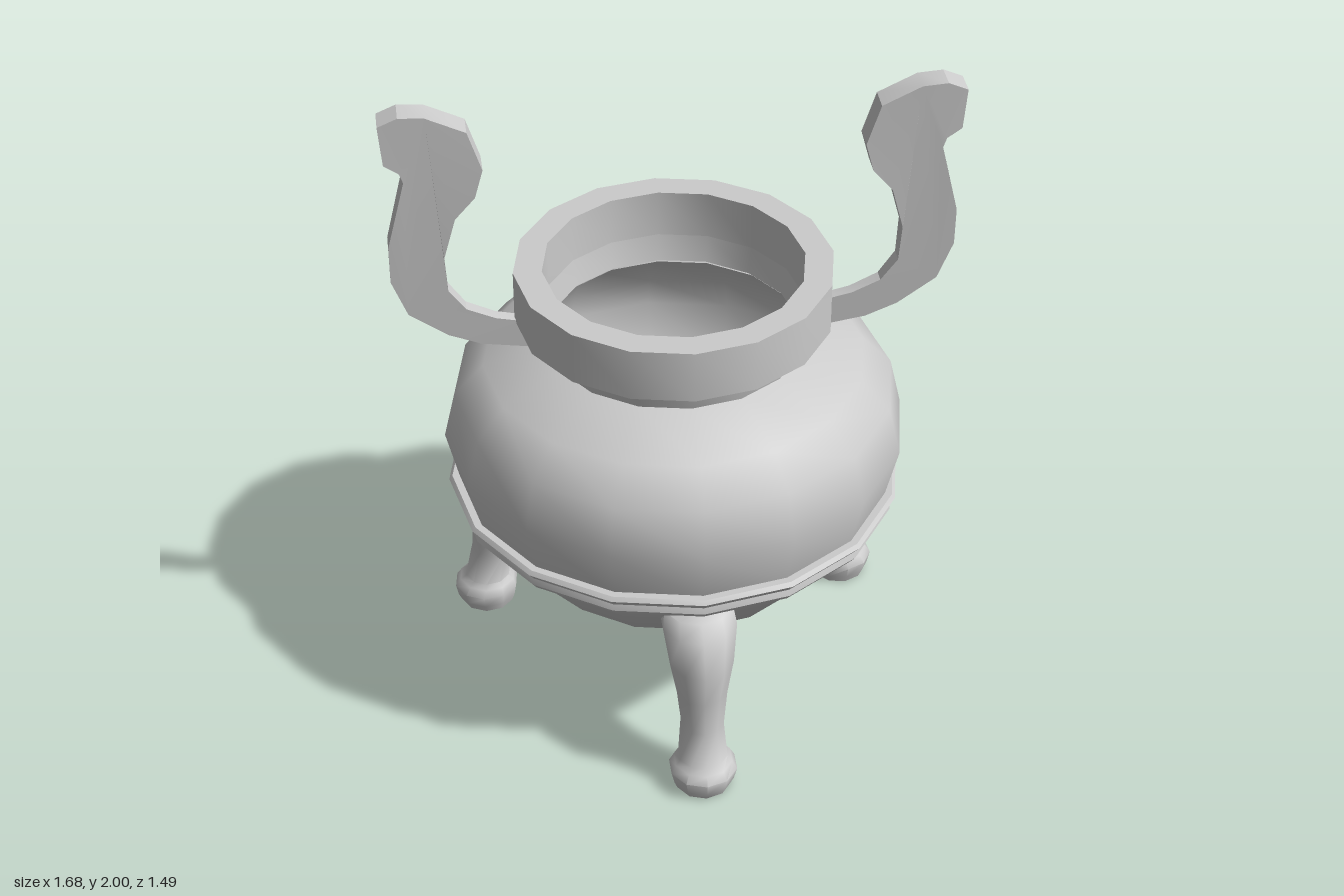
import * as THREE from 'three';
import { toCreasedNormals } from 'three/addons/utils/BufferGeometryUtils.js';

const SIDES = 16;
const AXIS_Z = -0.04; // the vessel's axis sits slightly behind the centre
const material = new THREE.MeshStandardMaterial({ color: 0xcccccc });

function makeMesh(name, geometry) {
  const mesh = new THREE.Mesh(geometry, material);
  mesh.name = name;
  return mesh;
}

// Turned part from [radius, y] pairs, outside listed upwards
function turned(name, profile, crease = 0.65) {
  const points = profile.map(([r, y]) => new THREE.Vector2(r, y));
  return makeMesh(name, toCreasedNormals(new THREE.LatheGeometry(points, SIDES), crease));
}

// Leg lofted through elliptical rings: [y, distance from axis, half width, half depth]
function legGeometry() {
  const rings = [
    [0, 0.68, 0.085, 0.085], [0.025, 0.682, 0.095, 0.096], [0.065, 0.682, 0.105, 0.103],
    [0.09, 0.678, 0.09, 0.09], [0.105, 0.675, 0.076, 0.072], [0.22, 0.655, 0.066, 0.068],
    [0.33, 0.638, 0.078, 0.078], [0.44, 0.61, 0.1, 0.118], [0.54, 0.56, 0.116, 0.125],
    [0.58, 0.53, 0.108, 0.11], [0.6, 0.5, 0.07, 0.08],
  ];
  const n = 10, positions = [], index = [];
  for (const [y, z, w, d] of rings) {
    for (let i = 0; i < n; i++) {
      const a = (i / n) * Math.PI * 2;
      positions.push(Math.sin(a) * w, y, z + Math.cos(a) * d);
    }
  }
  for (let k = 0; k < rings.length - 1; k++) {
    for (let i = 0; i < n; i++) {
      const a = k * n + i, b = k * n + (i + 1) % n;
      index.push(a, b, b + n, a, b + n, a + n);
    }
  }
  // Sole and top caps
  const top = (rings.length - 1) * n;
  for (let i = 1; i < n - 1; i++) {
    index.push(0, i + 1, i, top, top + i, top + i + 1);
  }
  const geometry = new THREE.BufferGeometry();
  geometry.setAttribute('position', new THREE.Float32BufferAttribute(positions, 3));
  geometry.setIndex(index);
  return toCreasedNormals(geometry, 0.95);
}

// Flat upswept handle, thinning towards its root
function handleGeometry(side) {
  const outline = [
    [0.385, 1.18], [0.42, 1.18], [0.575, 1.205], [0.67, 1.245], [0.785, 1.33], [0.83, 1.45], [0.83, 1.57],
    [0.795, 1.71], [0.775, 1.79], [0.785, 1.82], [0.828, 1.85], [0.838, 1.975], [0.78, 2],
    [0.705, 1.995], [0.59, 1.94], [0.55, 1.815], [0.575, 1.725], [0.635, 1.655],
    [0.672, 1.52], [0.665, 1.405], [0.615, 1.335], [0.53, 1.295], [0.44, 1.275], [0.39, 1.265],
  ];
  const shape = new THREE.Shape(outline.map(([x, y]) => new THREE.Vector2(x * side, y)));
  const geometry = new THREE.ExtrudeGeometry(shape, { depth: 1, bevelEnabled: false });
  const p = geometry.attributes.position;
  for (let i = 0; i < p.count; i++) {
    const t = THREE.MathUtils.clamp((p.getY(i) - 1.18) / 0.57, 0, 1);
    p.setZ(i, (p.getZ(i) - 0.5) * THREE.MathUtils.lerp(0.028, 0.08, t));
  }
  return toCreasedNormals(geometry, 0.4);
}

export function createModel() {
  const model = new THREE.Group();
  model.name = 'tripodCauldron';
  const vessel = new THREE.Group();
  vessel.name = 'vessel';
  vessel.position.z = AXIS_Z;
  model.add(vessel);

  // Bowl, belly and neck
  vessel.add(
    turned('lowerBowl', [[0, 0.3], [0.2, 0.3], [0.46, 0.41], [0.65, 0.64]]),
    turned('belt', [[0.63, 0.635], [0.665, 0.635], [0.68, 0.655], [0.675, 0.675],
      [0.695, 0.7], [0.685, 0.712], [0.65, 0.712]], 0.8),
    turned('belly', [[0.66, 0.7], [0.7, 0.87], [0.665, 1.02], [0.575, 1.115], [0.39, 1.185]]),
    turned('neck', [[0.388, 1.18], [0.41, 1.275]]),
    // Thick rim and hollow inside
    turned('rim', [[0.4, 1.272], [0.475, 1.272], [0.475, 1.435], [0.39, 1.435], [0.39, 1.28]]),
    turned('inside', [[0.39, 1.285], [0.375, 1.2], [0.55, 1.09], [0.64, 0.95], [0.66, 0.85],
      [0.62, 0.67], [0.43, 0.45], [0.2, 0.35], [0, 0.34]]),
  );

  for (const side of [1, -1]) {
    vessel.add(makeMesh(side > 0 ? 'leftHandle' : 'rightHandle', handleGeometry(side)));
  }

  // Three legs, the rear pair set slightly further in
  const leg = legGeometry();
  const rearAngle = THREE.MathUtils.degToRad(115);
  for (const [name, angle, inset] of [['frontLeg', 0, 0],
    ['leftRearLeg', rearAngle, 0.035], ['rightRearLeg', -rearAngle, 0.035]]) {
    const mesh = makeMesh(name, leg);
    mesh.rotation.y = angle;
    mesh.position.set(-Math.sin(angle) * inset, 0, -Math.cos(angle) * inset);
    vessel.add(mesh);
  }
  return model;
}
